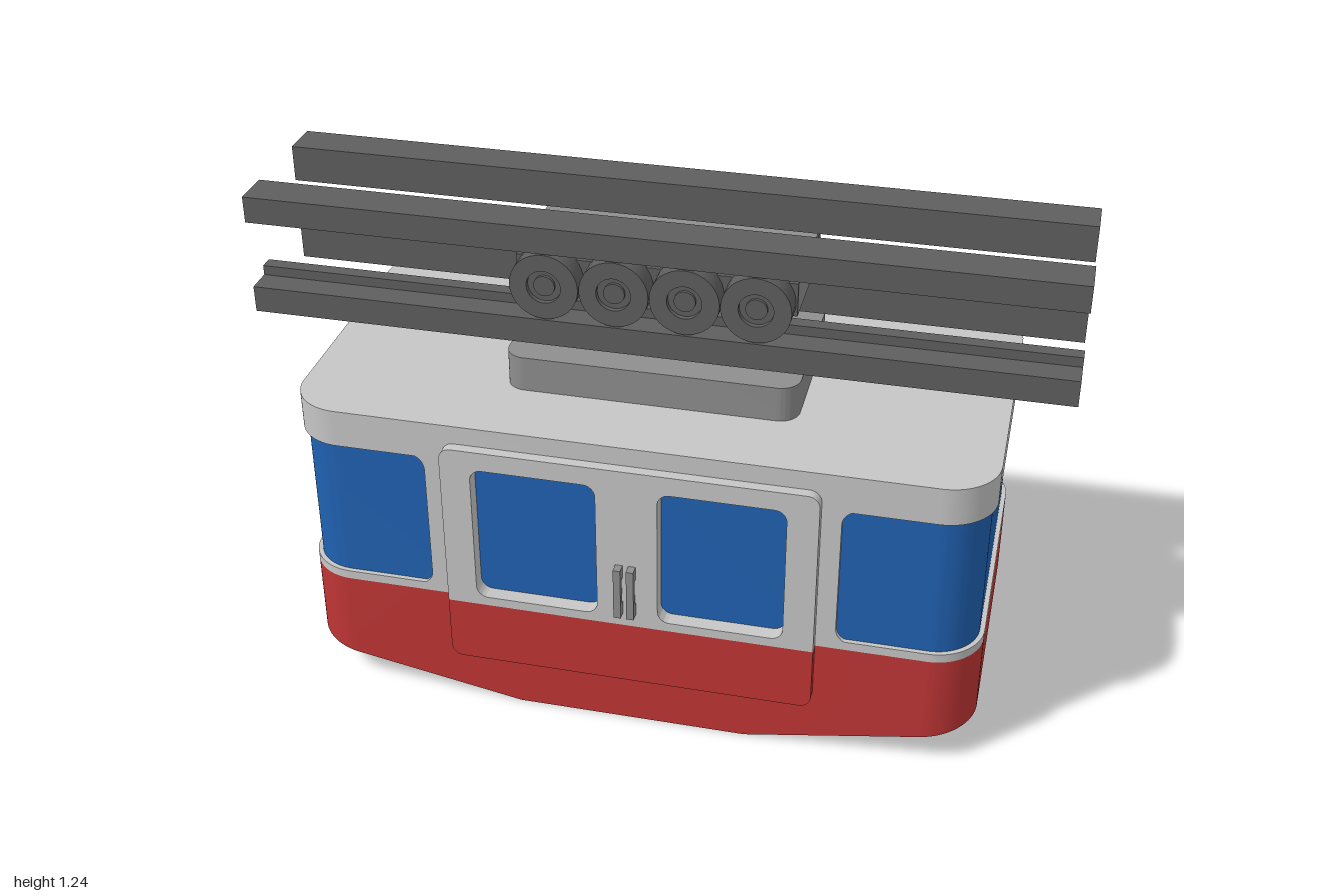
import * as THREE from 'three';
import { toCreasedNormals } from 'three/addons/utils/BufferGeometryUtils.js';

const material = (name, color) => {
  const m = new THREE.MeshStandardMaterial({ color });
  m.name = name;
  return m;
};

// Rounded rectangle outline; bottom and top corners can differ.
function roundedRect(x0, y0, x1, y1, rBottom, rTop = rBottom, Type = THREE.Shape) {
  const s = new Type();
  s.moveTo(x0 + rBottom, y0);
  s.lineTo(x1 - rBottom, y0);
  if (rBottom) s.absarc(x1 - rBottom, y0 + rBottom, rBottom, -Math.PI / 2, 0);
  s.lineTo(x1, y1 - rTop);
  if (rTop) s.absarc(x1 - rTop, y1 - rTop, rTop, 0, Math.PI / 2);
  s.lineTo(x0 + rTop, y1);
  if (rTop) s.absarc(x0 + rTop, y1 - rTop, rTop, Math.PI / 2, Math.PI);
  s.lineTo(x0, y0 + rBottom);
  if (rBottom) s.absarc(x0 + rBottom, y0 + rBottom, rBottom, Math.PI, Math.PI * 1.5);
  return s;
}

function extrude(shape, depth) {
  const g = new THREE.ExtrudeGeometry(shape, { depth, bevelEnabled: false, curveSegments: 10 });
  return toCreasedNormals(g, 0.5);
}

// Upright slab with a rounded plan, from y0 to y1.
function slab(x, zBack, zFront, y0, y1, r) {
  const g = extrude(roundedRect(-x, -zFront, x, -zBack, r), y1 - y0);
  return g.rotateX(-Math.PI / 2).translate(0, y0, 0);
}

// Cabin hull: cross-sections along x, with a keel that rises to both ends.
function hullGeometry(X, zBack, zFront, top, r) {
  const stations = [];
  const n = 16;
  for (let i = 0; i <= n; i++) {
    const a = (i / n) * Math.PI / 2;
    stations.push([-X + r - r * Math.cos(a), r - r * Math.sin(a)]);
  }
  stations.push([-0.29, 0]);
  const right = stations.map(([x, inset]) => [-x, inset]).reverse();
  const pos = [];
  const quad = (a, b, c, d) => pos.push(...a, ...b, ...c, ...a, ...c, ...d);
  const loops = [...stations, ...right].map(([x, inset]) => {
    const y = 0.1 * Math.max(0, (Math.abs(x) - 0.29) / (X - 0.29));
    const f = zFront - inset, b = zBack + inset;
    return [[x, y, f], [x, top, f], [x, top, b], [x, y, b]];
  });
  for (let i = 0; i < loops.length - 1; i++) {
    const p = loops[i], q = loops[i + 1];
    for (let k = 0; k < 4; k++) {
      const m = (k + 1) % 4;
      quad(p[k], q[k], q[m], p[m]);
    }
  }
  const first = loops[0], last = loops[loops.length - 1];
  quad(first[0], first[1], first[2], first[3]);
  quad(last[3], last[2], last[1], last[0]);
  const g = new THREE.BufferGeometry();
  g.setAttribute('position', new THREE.Float32BufferAttribute(pos, 3));
  return toCreasedNormals(g, 0.15);
}

// Window surround whose ends flare into the rounded corners of the end windows.
function surroundShape(holes) {
  const w = 0.505, r = 0.04, y0 = 0.33, y1 = 0.712;
  const s = new THREE.Shape();
  s.moveTo(-w - r, y0);
  s.lineTo(w + r, y0);
  s.absarc(w + r, y0 + r, r, -Math.PI / 2, -Math.PI, true);
  s.lineTo(w, y1 - r);
  s.absarc(w + r, y1 - r, r, Math.PI, Math.PI / 2, true);
  s.lineTo(-w - r, y1);
  s.absarc(-w - r, y1 - r, r, Math.PI / 2, 0, true);
  s.lineTo(-w, y0 + r);
  s.absarc(-w - r, y0 + r, r, 0, -Math.PI / 2, true);
  s.holes.push(...holes);
  return s;
}

export function createModel() {
  const red = material('red paint', 0xbf3535);
  const light = material('light grey paint', 0xc6c6c6);
  const blue = material('blue glass', 0x2061b1);
  const mid = material('mid grey metal', 0x8e8e8e);
  const dark = material('dark grey metal', 0x5e5e5e);

  const model = new THREE.Group();
  model.name = 'cableCar';
  const add = (name, geometry, mat, x = 0, y = 0, z = 0, parent = model) => {
    const mesh = new THREE.Mesh(geometry, mat);
    mesh.name = name;
    mesh.position.set(x, y, z);
    parent.add(mesh);
    return mesh;
  };
  const box = (w, h, d) => new THREE.BoxGeometry(w, h, d);

  // Cabin shell
  const X = 0.85, back = -0.45, front = 0.4, r = 0.125;
  add('hull', hullGeometry(X, back, front, 0.312, r), red);
  add('beltBand', slab(X, back, front, 0.312, 0.335, r), light);
  add('glassBody', slab(X - 0.012, back + 0.012, front - 0.012, 0.33, 0.715, r - 0.012), blue);
  add('roof', slab(X, back, front, 0.708, 0.805, r), light);

  // Window surrounds, front and back
  const doorHoles = () => [-1, 1].map((s) => {
    const a = s * 0.075, b = s * 0.382;
    return roundedRect(Math.min(a, b), 0.336, Math.max(a, b), 0.707, 0.03, 0.03, THREE.Path);
  });
  const backHole = roundedRect(-0.41, 0.336, 0.41, 0.707, 0.04, 0.04, THREE.Path);
  add('frontSurround', extrude(surroundShape(doorHoles()), 0.02), light, 0, 0, front - 0.02);
  add('backSurround', extrude(surroundShape([backHole]), 0.02), light, 0, 0, back);

  // Door, in two colours, with a pair of handles
  const upper = roundedRect(-0.457, 0.312, 0.457, 0.757, 0, 0.03);
  upper.holes.push(...doorHoles());
  add('doorUpper', extrude(upper, 0.032), light, 0, 0, 0.395);
  add('doorLower', extrude(roundedRect(-0.457, 0.142, 0.457, 0.312, 0.03, 0), 0.032), red, 0, 0, 0.395);
  for (const x of [-0.019, 0.013]) {
    const handle = new THREE.Group();
    handle.name = 'doorHandle';
    handle.position.set(x, 0.42, 0);
    add('grip', box(0.018, 0.14, 0.015), mid, 0, 0, 0.4445, handle);
    for (const s of [-1, 1]) add('gripFoot', box(0.018, 0.034, 0.012), mid, 0, s * 0.053, 0.432, handle);
    model.add(handle);
  }

  // Hanger on the roof
  const zc = -0.02, yc = 1.083;
  add('hangerBase', slab(0.36, -0.24, 0.2, 0.805, 0.895, 0.05), mid);
  add('hangerNeck', box(0.4, 0.16, 0.135), mid, 0, 0.973, zc);
  add('wheelBeam', box(0.68, 0.085, 0.27), mid, 0, 1.0925, zc);

  // Wheel with a recessed hub
  const wheelProfile = [[0, 0], [0.084, 0], [0.084, 0.065], [0.042, 0.065], [0.042, 0.052], [0.026, 0.052], [0.026, 0.06], [0, 0.06]];
  const wheel = toCreasedNormals(
    new THREE.LatheGeometry(wheelProfile.map(([x, y]) => new THREE.Vector2(x, y)), 32), 0.5);
  wheel.rotateX(Math.PI / 2);

  // Rails, wheels and end plates on both sides
  for (const s of [1, -1]) {
    add('wheelPlate', box(0.68, 0.085, 0.012), dark, 0, 1.0925, zc + s * 0.14);
    for (let i = 0; i < 4; i++) {
      const w = add('wheel', wheel, dark, -0.258 + i * 0.17, yc, zc + s * 0.137);
      if (s < 0) w.rotation.y = Math.PI;
    }
    for (const v of [1, -1]) {
      const section = [[0.102, 0.062], [0.137, 0.062], [0.137, 0.087], [0.203, 0.087], [0.203, 0.154], [0.102, 0.154]];
      const shape = new THREE.Shape(section.map(([z, y]) => new THREE.Vector2(zc + s * z, yc + v * y)));
      const rail = extrude(shape, 2).translate(0, 0, -1).rotateY(-Math.PI / 2);
      add(v > 0 ? 'upperRail' : 'lowerRail', rail, dark);
    }
  }
  return model;
}
